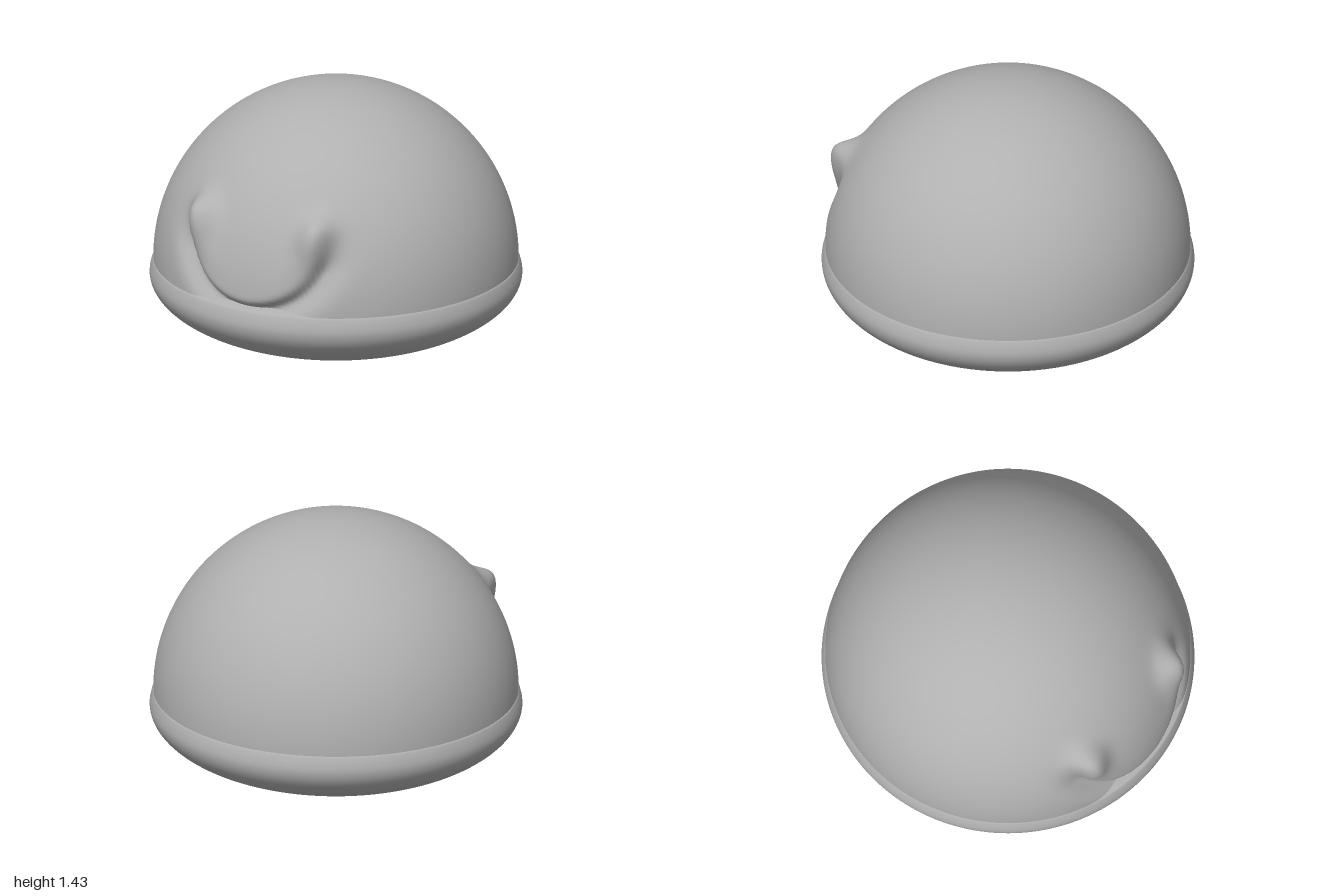
import * as THREE from 'three';
import { mergeVertices } from 'three/addons/utils/BufferGeometryUtils.js';

const RADIUS = 0.98, BASE = 0.45;
const bell = (d, width) => Math.exp(-((d / width) ** 2));

// Height of the smile relief at a point on the front of the dome
function smileRelief(x, y) {
  const drop = Math.min(y - 0.8, 0);
  const s = (Math.hypot(x / 0.4, drop / 0.33) - 1) * 0.37; // signed distance to the U curve
  const cheek = 0.095 * bell(s + 0.055, 0.075) * bell(y - 0.88, y > 0.88 ? 0.09 : 0.14);
  const d = s - 0.025;
  const groove = 0.06 * bell(d, d < 0 ? 0.035 : 0.075) * (1 - THREE.MathUtils.smoothstep(y, 0.68, 0.92));
  return cheek - groove;
}

export function createModel() {
  const group = new THREE.Group();
  const grey = new THREE.MeshStandardMaterial({ color: 0xb0b0b0 });
  grey.name = 'grey';

  // Smooth dome with the smile pressed into its front
  let domeGeo = new THREE.SphereGeometry(RADIUS, 240, 100, 0, Math.PI * 2, 0, Math.PI / 2);
  domeGeo.deleteAttribute('uv');
  domeGeo.deleteAttribute('normal');
  domeGeo = mergeVertices(domeGeo, 1e-5);
  const pos = domeGeo.attributes.position;
  const v = new THREE.Vector3();
  for (let i = 0; i < pos.count; i++) {
    v.fromBufferAttribute(pos, i);
    if (v.z > 0) {
      const h = smileRelief(v.x, v.y + BASE);
      // keep the lower edge level
      v.x *= 1 + h / RADIUS;
      v.z *= 1 + h / RADIUS;
      v.y *= 1 + h / RADIUS;
    }
    pos.setXYZ(i, v.x, v.y, v.z);
  }
  domeGeo.computeVertexNormals();
  const dome = new THREE.Mesh(domeGeo, grey);
  dome.name = 'dome';
  dome.position.y = BASE;
  group.add(dome);

  // Rounded rim and shallow bowl-shaped underside
  const profile = [];
  for (let i = 0; i <= 40; i++) {
    const a = (i / 40) * Math.PI / 2;
    profile.push(new THREE.Vector2(Math.sin(a), 0.37 - 0.365 * Math.cos(a)));
  }
  profile.push(
    new THREE.Vector2(0.998, 0.39),
    new THREE.Vector2(0.992, 0.415),
    new THREE.Vector2(0.984, 0.438),
    new THREE.Vector2(0.978, 0.45),
    new THREE.Vector2(0.9, 0.47), // ledge tucked under the dome
  );
  const rim = new THREE.Mesh(new THREE.LatheGeometry(profile, 160), grey);
  rim.name = 'rimAndBase';
  group.add(rim);

  return group;
}
